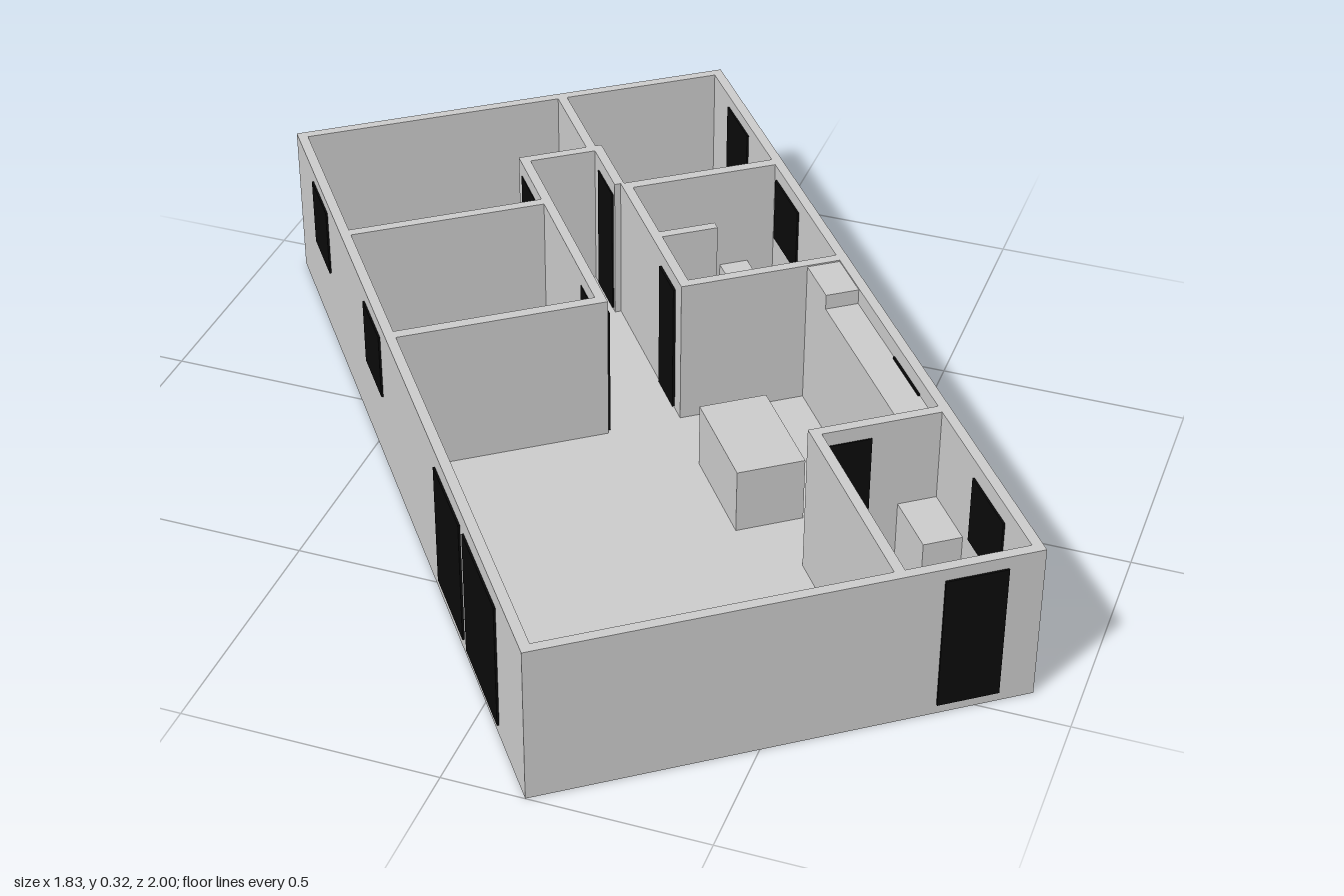
import * as THREE from 'three';

const grey = new THREE.MeshStandardMaterial({ color: 0xcccccc, flatShading: true });
const black = new THREE.MeshStandardMaterial({ color: 0x0a0a0a, flatShading: true });

const L = 0.895, W = 0.473;   // half length and half width of the plan
const H = 0.325, T = 0.02;    // wall height and thickness
const FLOOR = 0.01;

// Box spanning [x0, x1] along the plan, [z0, z1] across it and [y0, y1] upwards
function block(parent, name, x0, x1, z0, z1, y0, y1, material = grey) {
  const mesh = new THREE.Mesh(new THREE.BoxGeometry(x1 - x0, y1 - y0, z1 - z0), material);
  mesh.position.set((x0 + x1) / 2, (y0 + y1) / 2, (z0 + z1) / 2);
  mesh.name = name;
  parent.add(mesh);
  return mesh;
}

export function createModel() {
  const root = new THREE.Group();
  root.name = 'apartment';
  const plan = new THREE.Group();
  plan.name = 'floorPlan';
  plan.rotation.y = -Math.atan2(0.8, 0.6); // the plan stands turned in its frame
  root.add(plan);

  block(plan, 'floor', -L, L, -W, W, 0, FLOOR);

  // Outer walls, one ring extruded upwards
  const rect = (Kind, a, b) => {
    const path = new Kind();
    path.moveTo(-a, -b).lineTo(a, -b).lineTo(a, b).lineTo(-a, b).closePath();
    return path;
  };
  const ring = rect(THREE.Shape, L, W);
  ring.holes.push(rect(THREE.Path, L - T, W - T));
  const outer = new THREE.Mesh(
    new THREE.ExtrudeGeometry(ring, { depth: H - FLOOR, bevelEnabled: false }).rotateX(-Math.PI / 2),
    grey
  );
  outer.position.y = FLOOR;
  outer.name = 'outerWalls';
  plan.add(outer);

  // Inner walls: x0, x1, z0, z1
  const inL = L - T, inW = W - T;
  const walls = {
    bedroomDivider: [-inL, -0.66, -0.117, -0.097],
    hallEndWall: [-0.66, -0.64, -0.13, 0.05],
    hallLeftWall: [-0.64, -0.102, 0.03, 0.05],
    hallRightWall: [-0.64, -0.497, -0.13, -0.11],
    bedroomCrossWall: [-0.486, -0.466, 0.05, inW],
    livingRoomWall: [-0.102, -0.08, 0.03, inW],
    bathroomBackWall: [-0.497, -0.475, -inW, -0.123],
    bathroomSideWall: [-0.475, -0.108, -0.143, -0.123],
    bathroomFrontWall: [-0.108, -0.088, -inW, -0.123],
    showerScreenWall: [-0.295, -0.275, -0.26, -0.143],
    entryRoomWall: [0.437, 0.457, -inW, -0.197],
    entryRoomSideWall: [0.457, inL, -0.217, -0.197],
  };
  for (const [name, [x0, x1, z0, z1]] of Object.entries(walls)) {
    block(plan, name, x0, x1, z0, z1, FLOOR, H);
  }

  // Windows and glass doors in the long walls: side, x0, x1, y0, y1
  const P = 0.004; // how far a panel stands proud of its wall
  const openings = [
    ['window', -1, 0.619, 0.762, 0.148, 0.289],
    ['window', -1, 0.219, 0.35, 0.138, 0.294],
    ['window', -1, -0.462, -0.325, 0.154, 0.295],
    ['window', -1, -0.775, -0.644, 0.143, 0.3],
    ['window', 1, -0.733, -0.6, 0.155, 0.3],
    ['window', 1, -0.267, -0.133, 0.155, 0.295],
    ['glassDoor', 1, 0.3, 0.483, 0.028, 0.29],
    ['glassDoor', 1, 0.508, 0.725, 0.024, 0.29],
  ];
  for (const [name, side, x0, x1, y0, y1] of openings) {
    const z = side * (W - T / 2), h = T / 2 + P;
    block(plan, name, x0, x1, z - h, z + h, y0, y1, black);
  }

  // Doors
  block(plan, 'frontDoor', inL - P, L + P, -0.404, -0.285, 0.02, 0.3, black);
  block(plan, 'entryRoomDoor', 0.432, 0.46, -0.316, -0.203, 0.015, 0.295, black);
  block(plan, 'bedroomDoor', -0.634, -0.517, 0.025, 0.052, 0.015, 0.295, black);
  block(plan, 'bedroomDoor', -0.196, -0.083, 0.025, 0.052, 0.015, 0.295, black);
  block(plan, 'bedroomDoor', -0.61, -0.507, -0.133, -0.107, 0.015, 0.295, black);
  block(plan, 'bathroomDoor', -0.217, -0.124, -0.146, -0.118, 0.015, 0.295, black);

  // Furniture and fixtures
  block(plan, 'table', 0.07, 0.298, -0.248, -0.111, FLOOR, 0.147);
  block(plan, 'kitchenCabinet', -0.088, 0.02, -inW, -0.385, FLOOR, 0.322);
  block(plan, 'kitchenCounter', 0.02, 0.415, -inW, -0.385, FLOOR, 0.29);
  block(plan, 'washstand', -0.236, -0.108, -inW, -0.38, FLOOR, 0.15);
  block(plan, 'toilet', -0.475, -0.4, -0.396, -0.335, FLOOR, 0.1);
  block(plan, 'entryCabinet', 0.457, 0.588, -inW, -0.375, FLOOR, 0.13);

  return root;
}
